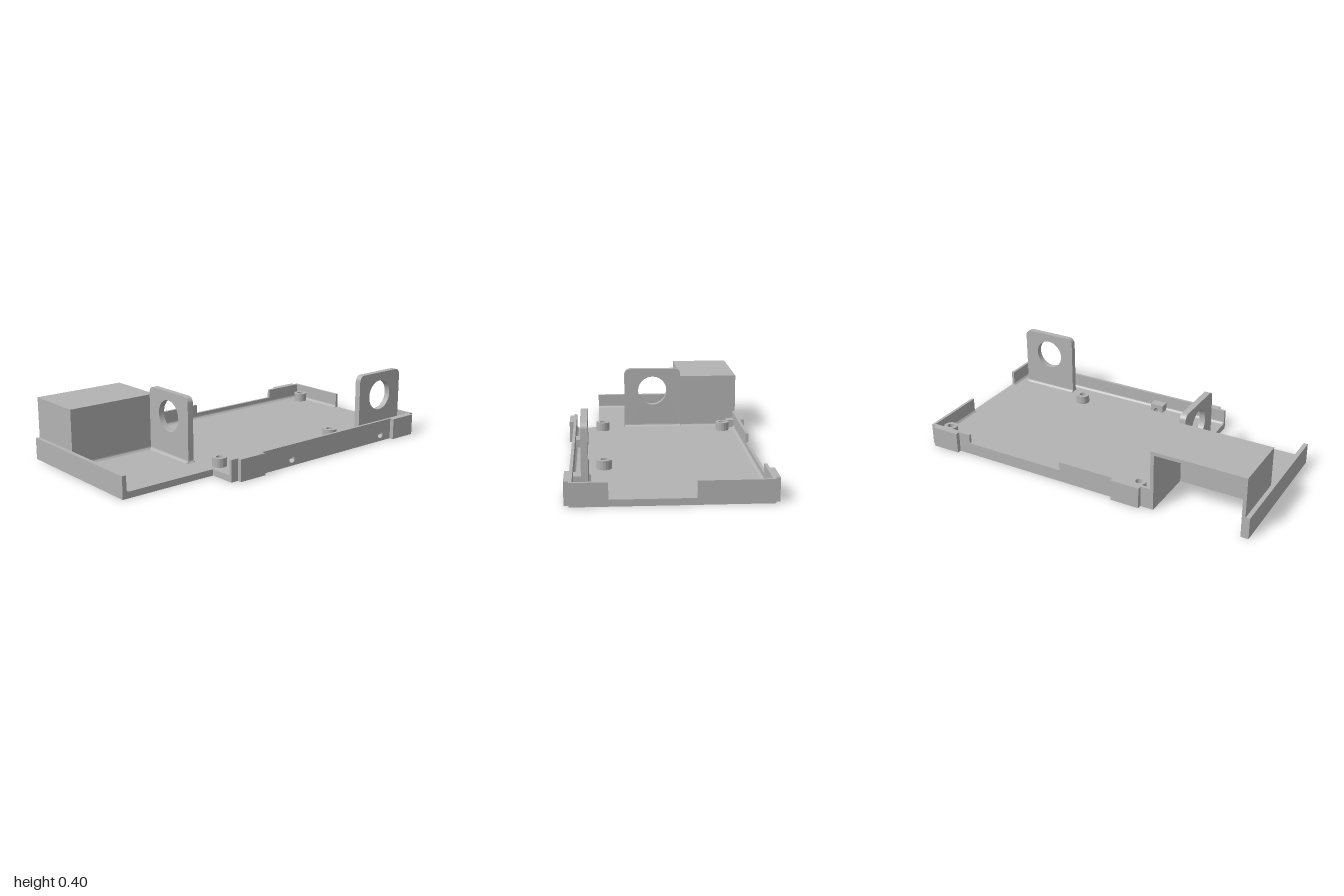
import * as THREE from 'three';
import { toCreasedNormals } from 'three/addons/utils/BufferGeometryUtils.js';

const FLOOR = 0.035, RIM = 0.122, WALL = 0.016;

export function createModel() {
  const root = new THREE.Group();
  root.name = 'equipmentTray';
  const grey = new THREE.MeshStandardMaterial({ color: 0xb3b3b3 });
  grey.name = 'plain grey';

  const add = (name, geometry) => {
    const mesh = new THREE.Mesh(geometry, grey);
    mesh.name = name;
    root.add(mesh);
    return mesh;
  };
  // Box given by its lower and upper limits
  const block = (name, x0, x1, y0, y1, z0, z1) =>
    add(name, new THREE.BoxGeometry(x1 - x0, y1 - y0, z1 - z0)
      .translate((x0 + x1) / 2, (y0 + y1) / 2, (z0 + z1) / 2));
  const extrude = (shape, depth) => toCreasedNormals(
    new THREE.ExtrudeGeometry(shape, { depth, bevelEnabled: false, curveSegments: 24 }), 0.6);
  const polygon = (points) => new THREE.Shape(points.map(([x, y]) => new THREE.Vector2(x, y)));
  const punch = (shape, x, y, r) => {
    const hole = new THREE.Path();
    hole.absarc(x, y, r, 0, Math.PI * 2, true);
    shape.holes.push(hole);
    return shape;
  };
  const rect = (x0, x1, y0, y1) => polygon([[x0, y0], [x1, y0], [x1, y1], [x0, y1]]);
  // Concave strip in an inside corner; angle turns its open side away from +x
  const fillet = (x, z, length, angle, r = 0.016) => {
    const s = new THREE.Shape();
    s.moveTo(0, 0);
    s.lineTo(r, 0);
    s.absarc(r, r, r, -Math.PI / 2, -Math.PI, true);
    s.lineTo(0, 0);
    const mesh = add('cornerFillet', extrude(s, length).translate(0, 0, -length / 2));
    mesh.position.set(x, FLOOR, z);
    mesh.rotation.y = angle;
  };
  const PX = 0, NX = Math.PI, PZ = -Math.PI / 2, NZ = Math.PI / 2;

  // Floor plate with screw holes and cut-outs behind the front wall
  const posts = [[-0.325, -0.405], [0.94, -0.405], [-0.365, 0.325], [0.47, 0.325]];
  const outline = [
    [-1, -0.155], [-1, 0.35], [-0.43, 0.35], [-0.43, 0.484],
    [-0.04, 0.484], [-0.04, 0.43], [0.04, 0.43], [0.04, 0.484],
    [0.675, 0.484], [0.675, 0.43], [0.76, 0.43], [0.76, 0.484],
    [1, 0.484], [1, -0.5], [-0.44, -0.5], [-0.44, -0.155],
  ];
  const floor = polygon(outline.map(([x, z]) => [x, -z]));
  posts.forEach(([x, z]) => punch(floor, x, -z, 0.02));
  add('floorPlate', extrude(floor, FLOOR).rotateX(-Math.PI / 2));

  // Hollow screw posts
  for (const [x, z] of posts) {
    const ring = new THREE.Shape();
    ring.absarc(0, 0, 0.04, 0, Math.PI * 2, false);
    punch(ring, 0, 0, 0.02);
    add('screwPost', extrude(ring, 0.05).rotateX(-Math.PI / 2)).position.set(x, FLOOR, z);
  }

  // Front wall with two screw holes and drilled blocks behind them
  const screwX = [0, 0.718], screwY = 0.037;
  const front = rect(-0.43, 1, 0, RIM);
  screwX.forEach((x) => punch(front, x, screwY, 0.02));
  add('frontWall', extrude(front, WALL).translate(0, 0, 0.5 - WALL));
  for (const x of screwX) {
    const s = punch(rect(x - 0.041, x + 0.041, 0, 0.08), x, screwY, 0.02);
    add('screwBlock', extrude(s, 0.054).translate(0, 0, 0.43));
  }

  // Back wall with a lowered middle
  const back = polygon([[-0.44, FLOOR], [1, FLOOR], [1, RIM], [0.73, RIM],
    [0.73, 0.07], [0.12, 0.07], [0.12, RIM], [-0.44, RIM]]);
  add('backWall', extrude(back, WALL).translate(0, 0, -0.5));
  block('backScrewBlock', -0.44, -0.375, FLOOR, 0.08, -0.484, -0.44);

  // Right-hand end wall in two pieces with an open gap
  block('endWallBack', 1 - WALL, 1, FLOOR, RIM, -0.484, -0.118);
  block('endWallFront', 1 - WALL, 1, FLOOR, RIM, 0.31, 0.484);

  // Outer wall of the side wing
  block('wingWall', -1, -0.976, FLOOR, RIM, -0.155, 0.35);
  block('wingWallBack', -1, -0.976, 0, RIM, -0.5, -0.155);

  // Clip pads on the long sides
  for (const [x0, x1] of [[-0.385, -0.217], [0.803, 0.973]]) {
    block('frontClipPad', x0, x1, 0, RIM, 0.5, 0.525);
    block('backClipPad', x0, x1, 0, RIM, -0.525, -0.5);
  }

  // Raised housing, open at the back and underneath
  block('housingTop', -0.976, -0.44, 0.33, 0.35, -0.5, -0.155);
  block('housingFront', -0.976, -0.44, 0, 0.33, -0.175, -0.155);
  block('housingOuterSide', -0.976, -0.956, 0, 0.33, -0.5, -0.175);
  block('housingInnerSide', -0.46, -0.44, 0, 0.33, -0.5, -0.175);

  // Upright brackets with rounded top corners and a round opening
  const bracket = (width) => {
    const w = width / 2, r = 0.035, top = 0.398, s = new THREE.Shape();
    s.moveTo(-w, FLOOR);
    s.lineTo(w, FLOOR);
    s.lineTo(w, top - r);
    s.absarc(w - r, top - r, r, 0, Math.PI / 2, false);
    s.absarc(-w + r, top - r, r, Math.PI / 2, Math.PI, false);
    s.lineTo(-w, FLOOR);
    return extrude(punch(s, 0, 0.262, 0.088), 0.035);
  };
  add('frontBracket', bracket(0.342)).position.set(0.765, 0, 0.405);
  add('sideBracket', bracket(0.345).rotateY(-Math.PI / 2)).position.set(-0.435, 0, 0.0175);

  // Fillets where walls and brackets meet the floor
  fillet(-0.976, 0.0975, 0.505, PX);
  fillet(-0.708, -0.155, 0.536, PZ);
  fillet(-0.44, -0.31, 0.3, PX, 0.01);
  fillet(0.28, -0.484, 1.408, PZ);
  fillet(0.28, 0.484, 1.408, NZ);
  fillet(0.984, -0.301, 0.366, NX);
  fillet(0.984, 0.397, 0.174, NX);
  fillet(-0.47, 0.0175, 0.345, NX);
  fillet(-0.435, 0.0175, 0.345, PX);
  fillet(-0.4525, 0.19, 0.035, PZ);
  fillet(0.765, 0.405, 0.342, NZ);
  fillet(0.765, 0.44, 0.342, PZ);

  return root;
}
